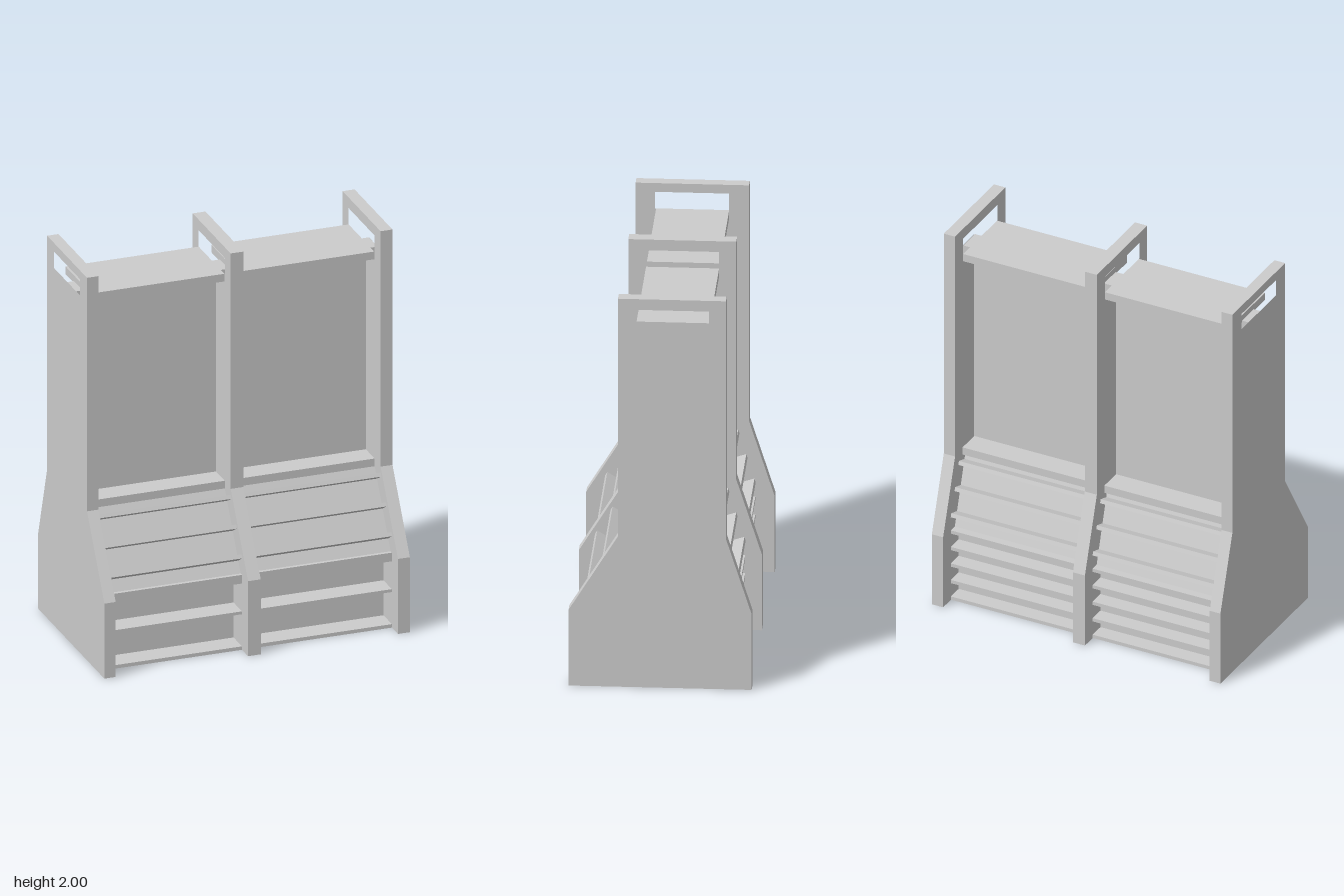
import * as THREE from 'three';

const grey = new THREE.MeshStandardMaterial({ color: 0xcccccc, flatShading: true });
const sheet = new THREE.MeshStandardMaterial({ color: 0xcccccc, flatShading: true, side: THREE.DoubleSide });

// Cross-section of the hollow core as [z, y], open at the bottom
const CORE = [
  [0.24, 0], [0.24, 0.345], [0.34, 0.385], [0.12, 0.745], [0, 0.765], [0, 1.83],
  [-0.12, 1.83], [-0.12, 0.765], [-0.21, 0.745], [-0.32, 0.385], [-0.28, 0.345], [-0.28, 0],
];
const BAYS = [[-0.725, -0.045], [0.02, 0.72]];

// Outer edge of an upright as [z, y]; grow widens it slightly
const outline = (grow, top) => [
  [-0.44 - grow, 0], [-0.44 - grow, 0.39], [-0.317 - grow, 0.775], [-0.317 - grow, top],
  [0.2 + grow, top], [0.2 + grow, 0.775], [0.437 + grow, 0.39], [0.437 + grow, 0],
];

const toShape = (pts) => new THREE.Shape(pts.map(([z, y]) => new THREE.Vector2(z, y)));

function handleHole() {
  return new THREE.Path([[-0.235, 1.86], [-0.235, 1.945], [0.12, 1.945], [0.12, 1.86]]
    .map(([z, y]) => new THREE.Vector2(z, y)));
}

function addMesh(parent, name, geometry, material = grey) {
  const mesh = new THREE.Mesh(geometry, material);
  mesh.name = name;
  parent.add(mesh);
  return mesh;
}

// Upright plate cut out around the hollow core, with a handle slot at the top
function addUpright(parent, name, x0, x1, grow = 0, top = 2) {
  const shape = toShape([...outline(grow, top), ...CORE]);
  shape.holes.push(handleHole());
  const geo = new THREE.ExtrudeGeometry(shape, { depth: x1 - x0, bevelEnabled: false });
  geo.rotateY(-Math.PI / 2).translate(x1, 0, 0);
  addMesh(parent, name, geo);
}

// Thin skin closing the core at one end
function addEndSkin(parent, name, x) {
  const geo = new THREE.ShapeGeometry(toShape(CORE));
  geo.rotateY(-Math.PI / 2).translate(x, 0, 0);
  addMesh(parent, name, geo, sheet);
}

// Folded sheet that follows the core across the full width
function coreSheet(x0, x1) {
  const pos = [];
  for (let i = 0; i < CORE.length - 1; i++) {
    const [za, ya] = CORE[i], [zb, yb] = CORE[i + 1];
    pos.push(x0, ya, za, x1, ya, za, x1, yb, zb, x0, ya, za, x1, yb, zb, x0, yb, zb);
  }
  const geo = new THREE.BufferGeometry();
  geo.setAttribute('position', new THREE.Float32BufferAttribute(pos, 3));
  geo.computeVertexNormals();
  return geo;
}

export function createModel() {
  const model = new THREE.Group();
  model.name = 'displayStand';

  // Uprights
  addUpright(model, 'rightUpright', -0.783, -0.725, 0.013, 1.99);
  addUpright(model, 'middleUpright', -0.045, 0.02);
  addUpright(model, 'leftUpright', 0.72, 0.781);
  addEndSkin(model, 'rightEndSkin', -0.783);
  addEndSkin(model, 'leftEndSkin', 0.781);

  // Recessed panels
  addMesh(model, 'corePanels', coreSheet(-0.782, 0.78), sheet);

  for (const [x0, x1] of BAYS) {
    const bay = new THREE.Group();
    bay.name = 'bay';
    model.add(bay);
    const width = x1 - x0, cx = (x0 + x1) / 2;

    // Level board between two depths and two heights
    const board = (name, z0, z1, y0, y1) =>
      addMesh(bay, name, new THREE.BoxGeometry(width, y1 - y0, z1 - z0))
        .position.set(cx, (y0 + y1) / 2, (z0 + z1) / 2);

    // Tilted slat from its root on the sloping panel to its tip
    const slat = (name, zRoot, yRoot, zTip, yTip) => {
      const dz = zTip - zRoot, dy = yTip - yRoot;
      const mesh = addMesh(bay, name, new THREE.BoxGeometry(width, 0.02, Math.hypot(dz, dy)));
      mesh.position.set(cx, (yRoot + yTip) / 2, (zRoot + zTip) / 2);
      mesh.rotation.x = -Math.atan2(dy, dz);
    };

    // Lid and the ledges under the tall recesses
    board('lid', -0.235, 0.115, 1.82, 1.86);
    board('frontLedge', -0.01, 0.12, 0.745, 0.785);
    board('backLedge', -0.24, -0.11, 0.745, 0.785);

    // Sloping slats
    for (let i = 0; i < 3; i++) {
      const y = 0.7 - i * 0.125;
      slat('frontSlat', 0.143 + i * 0.076, y, 0.206 + i * 0.074, y + 0.036);
      slat('backSlat', -0.22 - i * 0.038, y, -0.281 - i * 0.039, y + 0.02);
    }

    // Lower front shelves
    board('frontShelf', 0.23, 0.355, 0.345, 0.39);
    board('frontShelf', 0.23, 0.355, 0.185, 0.2);
    board('frontShelf', 0.23, 0.355, 0, 0.018);

    // Lower back shelves
    for (let i = 0; i < 5; i++) {
      const y = i * 0.092;
      board('backShelf', -0.36, -0.27, y, y + 0.018);
    }
  }
  return model;
}
